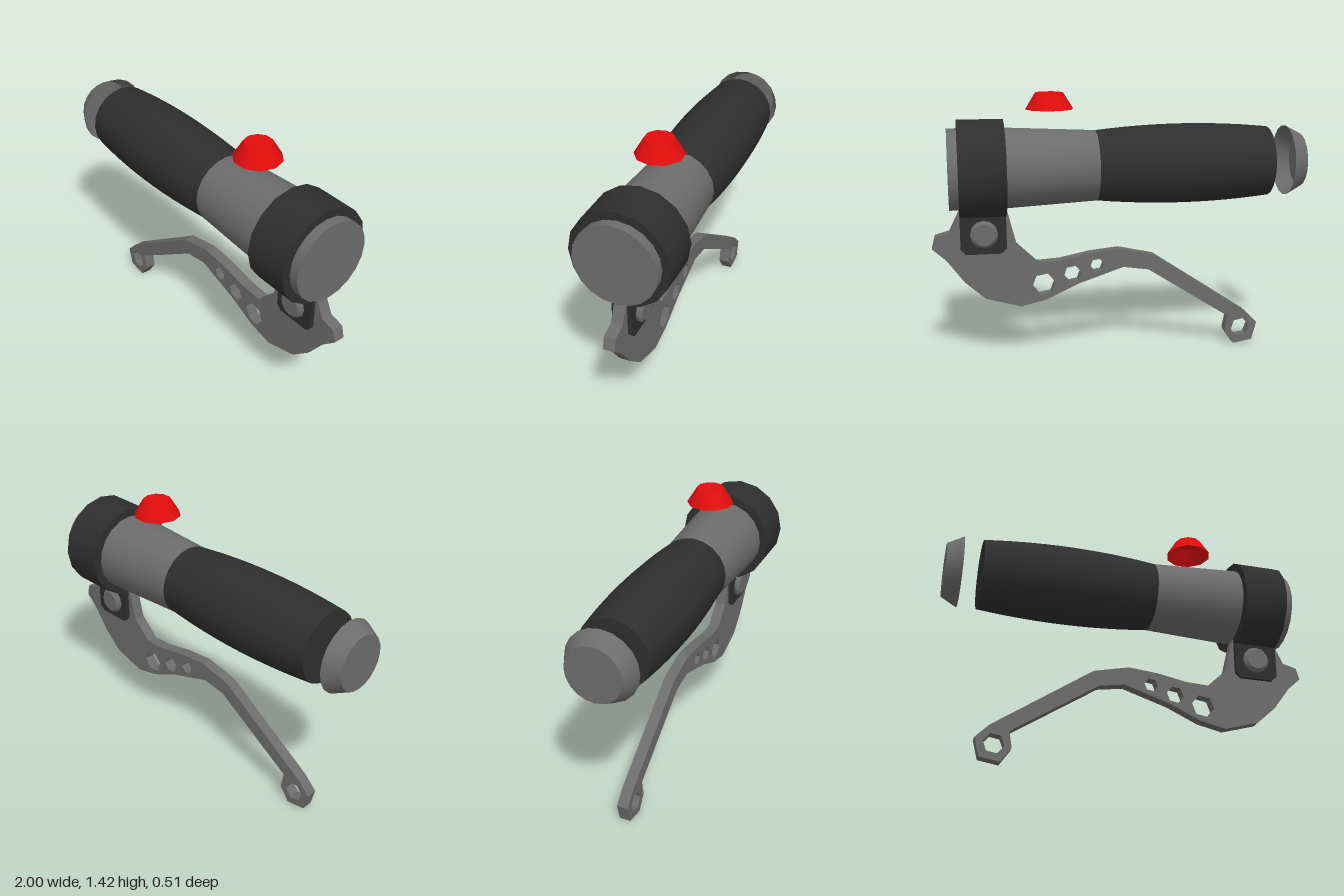
import * as THREE from 'three';
import { toCreasedNormals } from 'three/addons/utils/BufferGeometryUtils.js';

const mat = (name, color, side = THREE.FrontSide) => {
  const m = new THREE.MeshStandardMaterial({ color, side });
  m.name = name;
  return m;
};

export function createModel() {
  const metal = mat('grey metal', 0x6c6c6c, THREE.DoubleSide);
  const rubber = mat('dark rubber', 0x2e2e2e);
  const red = mat('red button', 0xe30c0c, THREE.DoubleSide);
  const root = new THREE.Group();
  root.name = 'handlebarGrip';
  const AXIS = 1.038;

  const add = (name, geometry, material) => {
    const m = new THREE.Mesh(geometry, material);
    m.name = name;
    root.add(m);
    return m;
  };
  // Lathe from [radius, height] pairs, with sharp edges kept
  const turned = (profile, sides) => toCreasedNormals(
    new THREE.LatheGeometry(profile.map(([r, h]) => new THREE.Vector2(r, h)), sides), 0.7);
  // Turned part lying along the x axis of the bar
  const along = (name, profile, sides, material) =>
    add(name, turned(profile, sides).rotateZ(-Math.PI / 2).translate(0, AXIS, 0), material);
  const shapeOf = pts => new THREE.Shape(pts.map(([x, y]) => new THREE.Vector2(x, y)));
  const plate = (shape, depth) => new THREE.ExtrudeGeometry(shape, { depth, bevelEnabled: false });

  // Bulging rubber grip
  const grip = [[0, -0.81]];
  for (let i = 0; i <= 12; i++) {
    const t = i / 12;
    grip.push([0.187 + 0.104 * t * (1 - t), -0.81 + 0.94 * t]);
  }
  along('grip', grip, 20, rubber);

  // Flared bar and open-backed end cap
  along('bar', [[0.187, 0.13], [0.211, 0.61], [0.213, 0.9], [0, 0.9]], 20, metal);
  along('endCap', [[0, -1], [0.145, -1], [0.19, -0.915]], 20, metal);

  // Clamp ring, split at the bottom
  const ring = [[0.03, -0.25]];
  const arc = (r, i) => {
    const a = -Math.PI / 2 + i * Math.PI / 8;
    return [r * Math.cos(a), r * Math.sin(a)];
  };
  for (let i = 1; i < 16; i++) ring.push(arc(0.256, i));
  ring.push([-0.03, -0.25], [-0.03, -0.207]);
  for (let i = 15; i > 0; i--) ring.push(arc(0.208, i));
  ring.push([0.03, -0.207]);
  add('clampRing', toCreasedNormals(plate(shapeOf(ring), 0.24), 0.5)
    .rotateY(Math.PI / 2).translate(0.61, AXIS, 0), rubber);

  // Clamp ears and pivot bolt heads on both sides
  const ear = shapeOf([[0.61, 0.82], [0.61, 0.62], [0.638, 0.592],
    [0.822, 0.592], [0.85, 0.62], [0.85, 0.82]]);
  for (const s of [1, -1]) {
    add('clampEar', plate(ear, 0.02).translate(0, 0, s > 0 ? 0.03 : -0.05), rubber);
    add('pivotBolt', turned([[0.073, 0.045], [0.073, 0.064], [0.058, 0.078], [0, 0.078]], 12)
      .rotateX(s * Math.PI / 2).translate(0.727, 0.7, 0), metal);
  }

  // Brake lever with hexagonal holes
  const lever = shapeOf([
    [-0.78, 0.12], [-0.71, 0.19], [-0.187, 0.54], [0.005, 0.583], [0.166, 0.567],
    [0.326, 0.535], [0.45, 0.528], [0.556, 0.63], [0.604, 0.82], [0.85, 0.82],
    [0.904, 0.711], [0.979, 0.69], [0.997, 0.626], [0.925, 0.561], [0.834, 0.438],
    [0.727, 0.342], [0.54, 0.289], [0.4, 0.321], [0.23, 0.4], [-0.016, 0.481],
    [-0.155, 0.46], [-0.61, 0.166], [-0.594, 0.08], [-0.647, 0.003], [-0.754, 0.021]]);
  for (const [x, y, r] of [[-0.684, 0.096, 0.054], [0.128, 0.497, 0.038],
    [0.262, 0.455, 0.048], [0.417, 0.406, 0.063]]) {
    const hex = [];
    for (let i = 0; i < 6; i++) {
      const a = -0.17 + i * Math.PI / 3;
      hex.push(new THREE.Vector2(x + r * Math.cos(a), y + r * Math.sin(a)));
    }
    lever.holes.push(new THREE.Path(hex));
  }
  add('brakeLever', plate(lever, 0.06).translate(0, 0, -0.03), metal);

  // Floating button, open underneath
  add('button', turned([[0.125, 1.34], [0.073, 1.425], [0, 1.425]], 10)
    .rotateY(Math.PI / 2).translate(0.37, 0, 0), red);

  return root;
}
